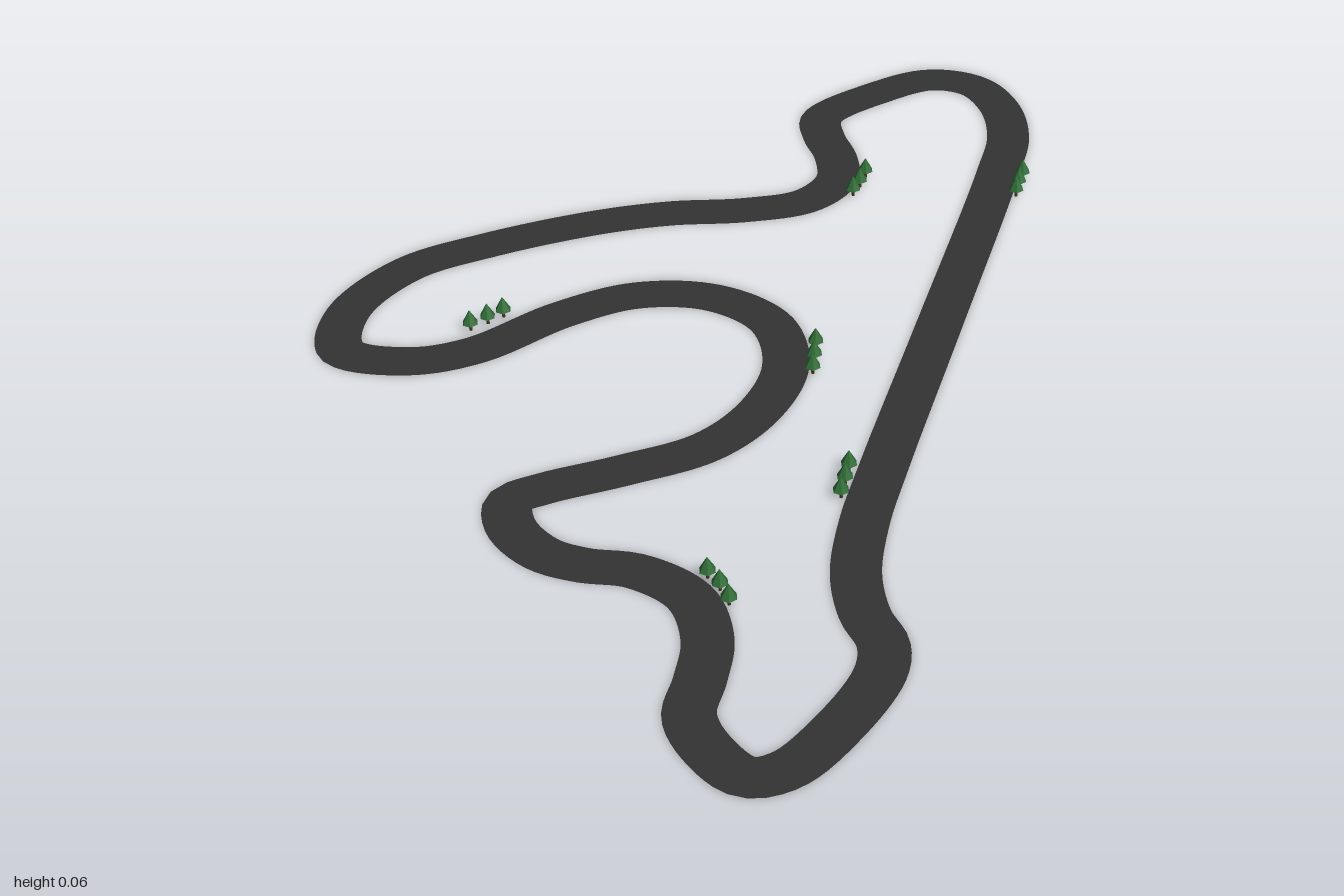
import * as THREE from 'three';

// Centre line of the circuit as [x, z], a closed loop
const CENTRE = [
  [-0.947, -0.72], [-0.92, -0.87], [-0.83, -0.943], [-0.71, -0.935], [-0.58, -0.865],
  [-0.46, -0.74], [-0.02, -0.225], [0.32, 0.175], [0.45, 0.32], [0.57, 0.425], [0.68, 0.48], [0.77, 0.5],
  [0.835, 0.555], [0.91, 0.71], [0.943, 0.85], [0.915, 0.92], [0.81, 0.94],
  [0.715, 0.92], [0.645, 0.85], [0.555, 0.775], [0.43, 0.738], [0.3, 0.785],
  [0.22, 0.865], [0.14, 0.915], [0.03, 0.925], [-0.045, 0.885], [-0.04, 0.81],
  [0.005, 0.64], [0.042, 0.45], [0.005, 0.29], [-0.1, 0.145], [-0.26, 0.08],
  [-0.42, 0.135], [-0.53, 0.275], [-0.565, 0.455], [-0.56, 0.69], [-0.61, 0.83],
  [-0.73, 0.935], [-0.86, 0.855], [-0.937, 0.66], [-0.915, 0.455], [-0.85, 0.2],
  [-0.78, 0.03], [-0.685, -0.13], [-0.632, -0.275], [-0.665, -0.39],
  [-0.755, -0.45], [-0.85, -0.48], [-0.93, -0.53],
];

// Each row of trees: three [x, z] positions
const TREE_ROWS = [
  [[-0.403, -0.772], [-0.377, -0.74], [-0.35, -0.71]],
  [[-0.635, -0.457], [-0.607, -0.42], [-0.585, -0.384]],
  [[-0.118, 0.05], [-0.08, 0.08], [-0.043, 0.11]],
  [[0.287, 0.243], [0.318, 0.275], [0.35, 0.308]],
  [[0.402, 0.676], [0.448, 0.676], [0.495, 0.685]],
  [[-0.636, 0.57], [-0.634, 0.612], [-0.634, 0.657]],
];

// Flat ribbon of constant width swept along a closed curve
function ribbon(curve, width, segments) {
  const positions = [], index = [];
  for (let i = 0; i <= segments; i++) {
    const p = curve.getPointAt((i % segments) / segments);
    const t = curve.getTangentAt((i % segments) / segments);
    const side = new THREE.Vector3(-t.z, 0, t.x).normalize().multiplyScalar(width / 2);
    positions.push(p.x - side.x, 0, p.z - side.z, p.x + side.x, 0, p.z + side.z);
    if (i < segments) {
      const a = i * 2;
      index.push(a, a + 1, a + 2, a + 1, a + 3, a + 2);
    }
  }
  const geometry = new THREE.BufferGeometry();
  geometry.setAttribute('position', new THREE.Float32BufferAttribute(positions, 3));
  geometry.setIndex(index);
  geometry.computeVertexNormals();
  return geometry;
}

export function createModel() {
  const model = new THREE.Group();
  model.name = 'raceCircuit';

  // Asphalt road
  const curve = new THREE.CatmullRomCurve3(
    CENTRE.map(([x, z]) => new THREE.Vector3(x, 0, z)), true, 'centripetal');
  curve.arcLengthDivisions = 1500;
  const road = new THREE.Mesh(
    ribbon(curve, 0.107, 400),
    new THREE.MeshStandardMaterial({ color: 0x333333, side: THREE.DoubleSide }));
  road.name = 'road';
  model.add(road);

  // Trees: a thin trunk below a six-sided cone
  const trunkGeometry = new THREE.CylinderGeometry(0.004, 0.004, 0.022, 6).translate(0, 0.011, 0);
  const crownGeometry = new THREE.ConeGeometry(0.019, 0.036, 6).translate(0, 0.038, 0);
  const bark = new THREE.MeshStandardMaterial({ color: 0x4a2f1b, flatShading: true });
  const leaves = new THREE.MeshStandardMaterial({ color: 0x2f6b35, flatShading: true });
  for (const row of TREE_ROWS) {
    const treeRow = new THREE.Group();
    treeRow.name = 'treeRow';
    for (const [x, z] of row) {
      const tree = new THREE.Group();
      tree.name = 'tree';
      const trunk = new THREE.Mesh(trunkGeometry, bark);
      trunk.name = 'trunk';
      const crown = new THREE.Mesh(crownGeometry, leaves);
      crown.name = 'crown';
      tree.add(trunk, crown);
      tree.position.set(x, 0, z);
      treeRow.add(tree);
    }
    model.add(treeRow);
  }
  return model;
}
